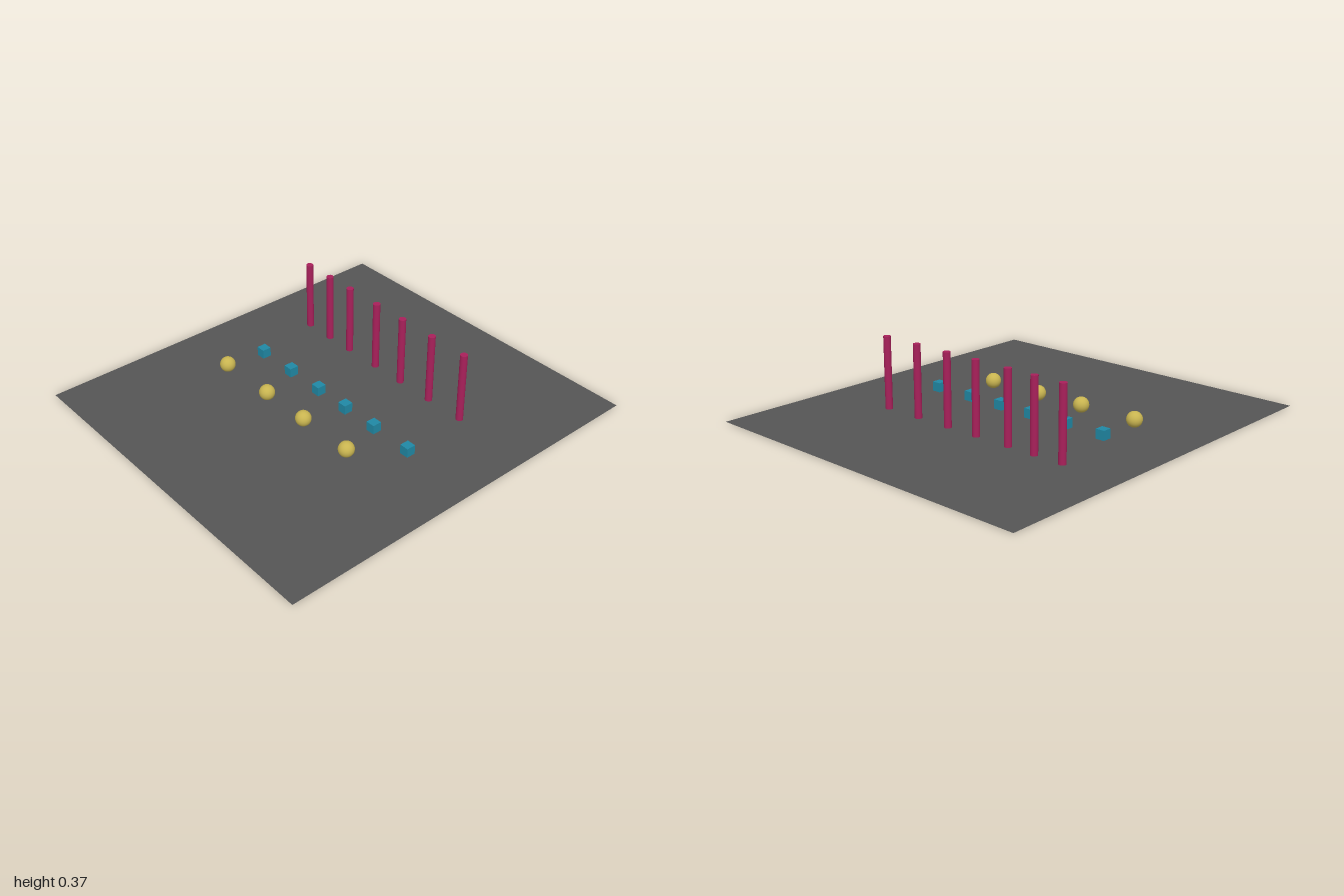
import * as THREE from 'three';

// One row of identical pieces standing at y = 0
function addRow(group, name, geometry, color, height, z, xs) {
  const material = new THREE.MeshStandardMaterial({ color });
  const row = new THREE.Group();
  row.name = name + 'Row';
  xs.forEach((x) => {
    const mesh = new THREE.Mesh(geometry, material);
    mesh.name = name;
    mesh.position.set(x, height / 2, z);
    row.add(mesh);
  });
  group.add(row);
}

export function createModel() {
  const model = new THREE.Group();
  model.name = 'groundWithMarkers';

  // Flat ground sheet, just above the undersides of the pieces
  const ground = new THREE.Mesh(
    new THREE.PlaneGeometry(1.83, 2).rotateX(-Math.PI / 2),
    new THREE.MeshStandardMaterial({ color: 0x555555, side: THREE.DoubleSide })
  );
  ground.name = 'ground';
  ground.position.y = 0.002;
  model.add(ground);

  // Tall poles at the back
  addRow(model, 'pole', new THREE.CylinderGeometry(0.018, 0.018, 0.366, 32), 0xa8205a, 0.366, -0.35,
    [-0.6, -0.44, -0.286, -0.09, 0.092, 0.291, 0.498]);

  // Small cubes in the middle
  addRow(model, 'cube', new THREE.BoxGeometry(0.047, 0.05, 0.047), 0x2088a4, 0.05, 0.015,
    [-0.53, -0.31, -0.098, 0.098, 0.299, 0.526]);

  // Balls in front
  addRow(model, 'ball', new THREE.SphereGeometry(0.039, 32, 24), 0xc8b450, 0.08, 0.236,
    [-0.54, -0.222, 0.053, 0.358]);

  return model;
}
